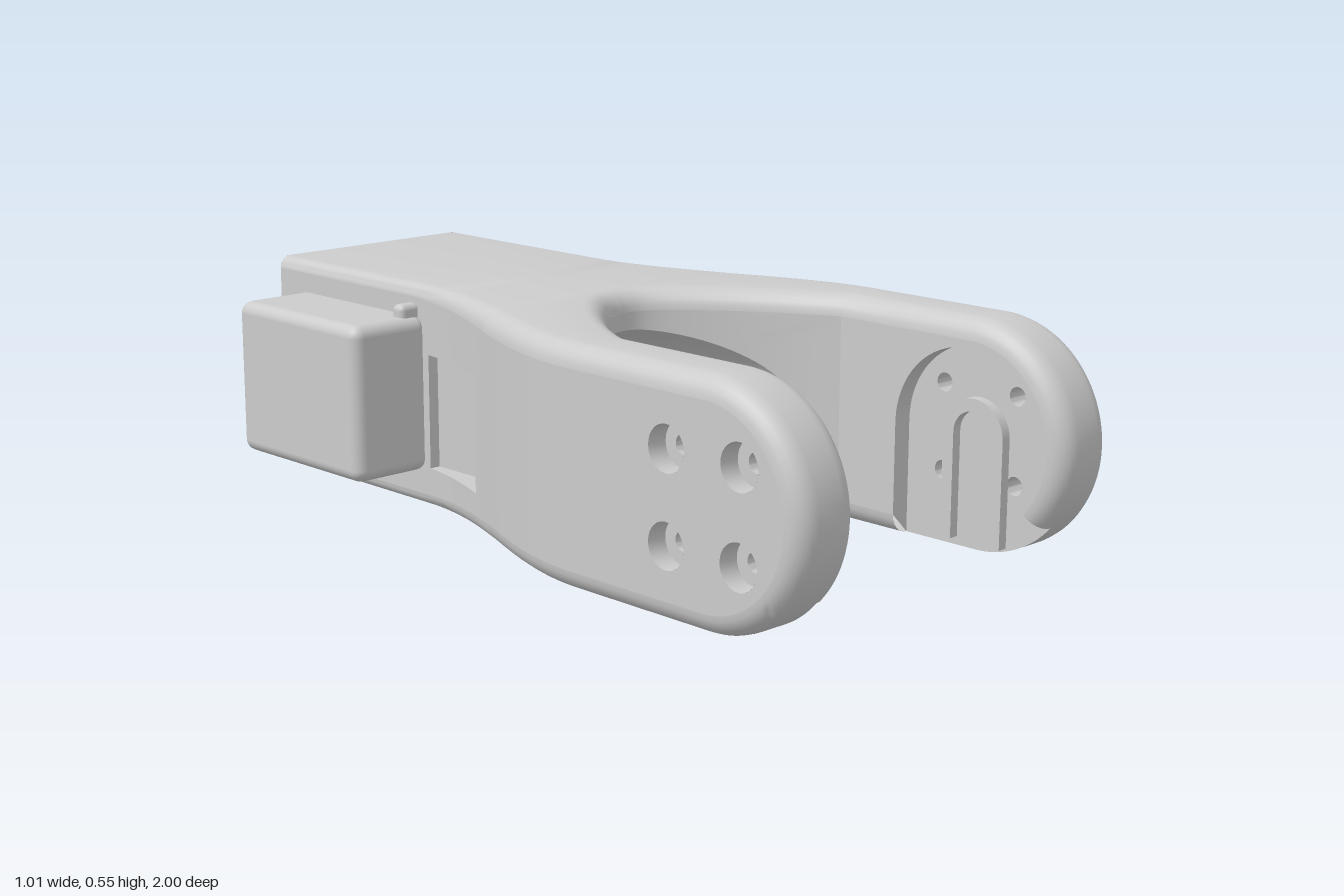
import * as THREE from 'three';
import { toCreasedNormals } from 'three/addons/utils/BufferGeometryUtils.js';
import { RoundedBoxGeometry } from 'three/addons/geometries/RoundedBoxGeometry.js';

const H = 0.545, MID = H / 2, R = 0.05, IN = 0.335, OUT = 0.505, ARM = 0.35, TIP = 1 - MID;
const U = 0.205, FLOOR = IN + R; // arm recess radius and floor
const grey = new THREE.MeshStandardMaterial({ color: 0xcccccc, side: THREE.DoubleSide });
const blue = new THREE.MeshStandardMaterial({ color: 0x1010e0, side: THREE.DoubleSide });
const { smoothstep, clamp } = THREE.MathUtils;

const make = (name, geo, mat = grey) => {
  const m = new THREE.Mesh(geo, mat);
  m.name = name;
  return m;
};

// surface through rows of [x, y, z] points; skip(i, j) leaves cells open
function sheet(name, rows, skip = () => false) {
  const n = rows[0].length, index = [];
  for (let i = 0; i < rows.length - 1; i++) for (let j = 0; j < n - 1; j++) {
    if (skip(i, j)) continue;
    const a = i * n + j;
    index.push(a, a + 1, a + n, a + 1, a + n + 1, a + n);
  }
  const g = new THREE.BufferGeometry();
  g.setAttribute('position', new THREE.Float32BufferAttribute(rows.flat(2), 3));
  g.setIndex(index);
  return make(name, toCreasedNormals(g, 0.6));
}

// flat side panel: shape drawn in (z, y), placed at x
const panel = (name, shape, x) => make(name, new THREE.ShapeGeometry(shape, 24).rotateY(-Math.PI / 2).translate(x, 0, 0));
const lathe = (pts, n = 48) => new THREE.LatheGeometry(pts.map(p => new THREE.Vector2(...p)), n);
const hole = (x, y, r) => new THREE.Path().absarc(x, y, r, 0, Math.PI * 2, true);

// plan outline: outer flank and crotch curve
const outerX = z => 0.295 + 0.21 * smoothstep(z, -0.45, 0.33);
const radius = z => 0.03 + 0.02 * clamp((z + 0.45) / 0.4, 0, 1);
const crotch = new THREE.SplineCurve([[-0.06, -0.015], [0, -0.03], [0.06, -0.015], [0.13, 0.045], [0.2, 0.125],
  [0.26, 0.21], [0.3, 0.28], [IN, ARM]].map(p => new THREE.Vector2(...p)));
const crotchAt = i => crotch.getPoint((1 + 6 * i / 24) / 7);
const crotchPts = Array.from({ length: 25 }, (_, i) => crotchAt(i));
crotchPts[0].set(0, -0.03);
function crotchZ(x) {
  x = Math.abs(x);
  let i = 0;
  while (i < 23 && crotchPts[i + 1].x < x) i++;
  const a = crotchPts[i], b = crotchPts[i + 1];
  return a.y + (b.y - a.y) * (x - a.x) / (b.x - a.x);
}

// quarter-round edge samples: [distance from side face, drop from top face]
const fillet = r => Array.from({ length: 7 }, (_, k) => {
  const a = k / 6 * Math.PI / 2;
  return [r * (1 - Math.cos(a)), r * (1 - Math.sin(a))];
});
function outerNormal(z) {
  const s = (outerX(z + 0.01) - outerX(z - 0.01)) / 0.02, l = Math.hypot(1, s);
  return [-1 / l, s / l];
}
// rounded outer edge, running from the top face down to the flank
const outerEdge = (z, y, ny, nz) => {
  const n = outerNormal(z);
  return fillet(radius(z)).reverse().map(([d, e]) => [outerX(z) + n[0] * d, y - ny * e, z + n[1] * d - nz * e]);
};

function forkRows() {
  const top = crotchPts.map((p, i) => {
    const a = crotchPts[Math.max(0, i - 1)], b = crotchPts[Math.min(24, i + 1)];
    let t = b.clone().sub(a).normalize();
    if (i === 0) t.set(1, 0);
    if (i === 24) t.set(0, 1);
    const z = -0.08 + (ARM + 0.08) * i / 24;
    return [...fillet(R).map(([d, e]) => [p.x + t.y * d, H - e, p.y - t.x * d]), ...outerEdge(z, H, 1, 0)];
  });
  const armRow = (z, ny, nz) => {
    const y = MID + MID * ny;
    return [...fillet(R).map(([d, e]) => [IN + d, y - ny * e, z - nz * e]), ...outerEdge(z, y, ny, nz)];
  };
  top.push(armRow(TIP - U, 1, 0));
  const tip = [];
  for (let i = 0; i <= 48; i++) {
    const a = Math.PI / 2 - i / 48 * Math.PI;
    tip.push(armRow(TIP + MID * Math.cos(a), Math.sin(a), Math.cos(a)));
  }
  const bottom = top.map(r => r.map(([x, y, z]) => [x, H - y, z])).reverse();
  return [...top, ...tip, ...bottom];
}

function half(side) {
  const g = new THREE.Group();
  g.name = side < 0 ? 'rightHalf' : 'leftHalf';
  // fork skin: the inner edge stays open under the arm recess
  g.add(sheet('forkSkin', forkRows(), (i, j) => j < 6 && i >= 26 + 35 && i < 26 + 49));
  // block top and bottom
  for (const flip of [false, true]) {
    const rows = [-1, -0.45, -0.4, -0.35, -0.3, -0.25, -0.2, -0.15, -0.08].map(z =>
      [[0, H, z], ...outerEdge(z, H, 1, 0)].map(([x, y, zz]) => [x, flip ? H - y : y, zz]));
    g.add(sheet(flip ? 'blockUnderside' : 'blockTop', rows));
  }
  // block side with cross bore
  const flank = new THREE.Shape([[-1, 0.03], [-0.45, 0.03], [-0.45, H - 0.03], [-1, H - 0.03]].map(p => new THREE.Vector2(...p)));
  flank.holes.push(hole(-0.675, MID, 0.06));
  g.add(panel('blockSide', flank, 0.295));
  // flared side, with a cable pocket on one side only
  const zs = Array.from({ length: 17 }, (_, i) => -0.45 + i * 0.05);
  const flare = zs.map(z => [radius(z), 0.1, 0.38, H - radius(z)].map(y => [outerX(z), y, z]));
  g.add(sheet('flaredSide', flare, (i, j) => side < 0 && j === 1 && i >= 1 && i < 6));
  if (side < 0) {
    const px = 0.27, lip = zs.slice(1, 7);
    for (const y of [0.1, 0.38]) g.add(sheet('pocketWall', lip.map(z => [[outerX(z), y, z], [px, y, z]])));
    for (const z of [lip[0], lip[5]]) g.add(sheet('pocketEnd', [0.1, 0.38].map(y => [[outerX(z), y, z], [px, y, z]])));
    g.add(sheet('pocketFloor', [lip[0], lip[5]].map(z => [[px, 0.1, z], [px, 0.38, z]])));
  }
  // arm outer face with four bolt holes
  const spots = [-0.103, 0.103].flatMap(a => [-0.103, 0.103].map(b => [TIP + a, MID + b]));
  const outer = new THREE.Shape().moveTo(ARM, R).lineTo(TIP, R);
  outer.absarc(TIP, MID, MID - R, -Math.PI / 2, Math.PI / 2, false).lineTo(ARM, H - R);
  outer.holes.push(...spots.map(p => hole(...p, 0.052)));
  g.add(panel('armOuterFace', outer, OUT));
  for (const [z, y] of spots) {
    const bolt = lathe([[0.052, OUT], [0.052, 0.455], [0.022, 0.455], [0.022, FLOOR]], 28);
    g.add(make('boltHole', toCreasedNormals(bolt.rotateZ(-Math.PI / 2).translate(0, y, z), 0.6)));
  }
  // arm inner face around a U-shaped recess open at the bottom
  const cut = Math.acos(U / (MID - R));
  const inner = new THREE.Shape().moveTo(ARM, R).lineTo(ARM, H - R).lineTo(TIP, H - R);
  inner.absarc(TIP, MID, MID - R, Math.PI / 2, -cut, true).lineTo(TIP + U, MID);
  inner.absarc(TIP, MID, U, 0, Math.PI, false).lineTo(TIP - U, R);
  g.add(panel('armInnerFace', inner, IN));
  const end = Math.acos(U / MID), endY = MID - MID * Math.sin(end);
  const floor = new THREE.Shape().moveTo(TIP - U, 0).lineTo(TIP, 0);
  floor.absarc(TIP, MID, MID, -Math.PI / 2, -end, false).lineTo(TIP + U, MID);
  floor.absarc(TIP, MID, U, 0, Math.PI, false);
  floor.holes.push(...spots.map(p => hole(...p, 0.022)));
  g.add(panel('recessFloor', floor, FLOOR));
  const wall = [[[IN, R, TIP - U], [FLOOR, 0, TIP - U]]];
  for (let i = 0; i <= 32; i++) {
    const a = Math.PI * (1 - i / 32), y = MID + U * Math.sin(a), z = TIP + U * Math.cos(a);
    wall.push([[IN, y, z], [FLOOR, y, z]]);
  }
  wall.push([[IN, MID - (MID - R) * Math.sin(cut), TIP + U], [FLOOR, endY, TIP + U]]);
  g.add(sheet('recessWall', wall));
  // raised rail inside the recess
  const rail = new THREE.Shape().moveTo(TIP + 0.085, 0.02).lineTo(TIP + 0.085, MID);
  rail.absarc(TIP, MID, 0.085, 0, Math.PI, false).lineTo(TIP - 0.085, 0.02).lineTo(TIP - 0.055, 0.02).lineTo(TIP - 0.055, MID);
  rail.absarc(TIP, MID, 0.055, Math.PI, 0, true).lineTo(TIP + 0.055, 0.02);
  const railGeo = new THREE.ExtrudeGeometry(rail, { depth: 0.025, bevelEnabled: false, curveSegments: 20 });
  g.add(make('recessRail', railGeo.rotateY(-Math.PI / 2).translate(FLOOR, 0, 0)));
  g.scale.x = side;
  return g;
}

export function createModel() {
  const model = new THREE.Group();
  model.name = 'forkBracket';
  model.add(half(1), half(-1));

  // crotch wall and tapered oval opening into the cavity
  const ring = (rx, ry, z, cx = -0.01) => Array.from({ length: 97 }, (_, i) => {
    const a = i / 96 * Math.PI * 2, x = cx + rx * Math.cos(a);
    return [x, MID + ry * Math.sin(a), z ?? crotchZ(x)];
  });
  const mouth = ring(0.29, 0.18, null, -0.005);
  const border = Array.from({ length: 97 }, (_, i) => {
    const a = i / 96 * Math.PI * 2, c = Math.cos(a), s = Math.sin(a), m = Math.max(Math.abs(c), Math.abs(s));
    return [IN * c / m, MID + (MID - R) * s / m];
  });
  const rows = [0, 0.2, 0.4, 0.6, 0.8, 1].map(t => mouth.map((p, i) => {
    const x = p[0] + (border[i][0] - p[0]) * t, y = p[1] + (border[i][1] - p[1]) * t;
    return [x, y, crotchZ(x)];
  }));
  model.add(sheet('crotchWall', rows));
  model.add(sheet('ovalOpening', [mouth, ring(0.235, 0.138, -0.2, -0.015)]));
  model.add(sheet('cavity', [ring(0.235, 0.138, -0.2, -0.015), ring(0.25, 0.2, -0.2), ring(0.25, 0.2, -0.42), ring(0, 0, -0.42)]));

  // circuit board in the cavity
  model.add(make('circuitBoard', new THREE.BoxGeometry(0.08, 0.28, 0.02).translate(-0.16, MID, -0.41)));
  model.add(make('boardConnector', new THREE.BoxGeometry(0.02, 0.16, 0.02).translate(-0.135, MID, -0.395)));

  // cross bore with coloured end
  model.add(make('crossBore', new THREE.CylinderGeometry(0.06, 0.06, 0.175, 40, 1, true).rotateZ(Math.PI / 2).translate(0.2075, MID, -0.675)));
  model.add(make('boreEnd', new THREE.CircleGeometry(0.06, 40).rotateY(Math.PI / 2).translate(0.12, MID, -0.675), blue));

  // back face with round recess and two screws
  const w = 0.295, r = 0.03, back = new THREE.Shape().moveTo(r - w, 0).lineTo(w - r, 0);
  back.absarc(w - r, r, r, -Math.PI / 2, 0, false).absarc(w - r, H - r, r, 0, Math.PI / 2, false);
  back.absarc(r - w, H - r, r, Math.PI / 2, Math.PI, false).absarc(r - w, r, r, Math.PI, Math.PI * 1.5, false);
  const screws = [[0.23, MID + 0.21], [-0.23, MID - 0.21]];
  back.holes.push(hole(0, MID, 0.26), ...screws.map(p => hole(...p, 0.038)));
  model.add(make('backFace', new THREE.ShapeGeometry(back, 32).translate(0, 0, -1)));
  const turned = (name, pts, x, y) => model.add(make(name, toCreasedNormals(lathe(pts).rotateX(Math.PI / 2).translate(x, y, -1), 0.5)));
  turned('backRecess', [[0.26, 0], [0.235, 0.1], [0.2, 0.1], [0.2, 0.14], [0, 0.14]], 0, MID);
  for (const [x, y] of screws) turned('cornerScrew', [[0.038, 0], [0.038, 0.02], [0.018, 0.02], [0.018, 0.05], [0, 0.05]], x, y);

  // output disc
  const disc = new THREE.Shape().absarc(0, 0, 0.13, 0, Math.PI * 2, false);
  disc.holes.push(hole(0, 0, 0.02));
  for (let i = 0; i < 4; i++) disc.holes.push(hole(0.08 * Math.cos(i * Math.PI / 2), 0.08 * Math.sin(i * Math.PI / 2), 0.016));
  model.add(make('outputDisc', new THREE.ExtrudeGeometry(disc, { depth: 0.05, bevelEnabled: false, curveSegments: 32 }).translate(0, MID, -0.91)));

  // side housing with screws and cable boss
  model.add(make('sideHousing', new RoundedBoxGeometry(0.22, 0.38, 0.48, 4, 0.03).translate(-0.39, 0.28, -0.66)));
  for (const y of [0.15, 0.41]) {
    model.add(make('housingScrew', new THREE.CylinderGeometry(0.02, 0.02, 0.01, 20).rotateX(Math.PI / 2).translate(-0.34, y, -0.9)));
  }
  model.add(make('cableBoss', new RoundedBoxGeometry(0.06, 0.05, 0.04, 3, 0.015).translate(-0.315, 0.475, -0.46)));
  return model;
}
